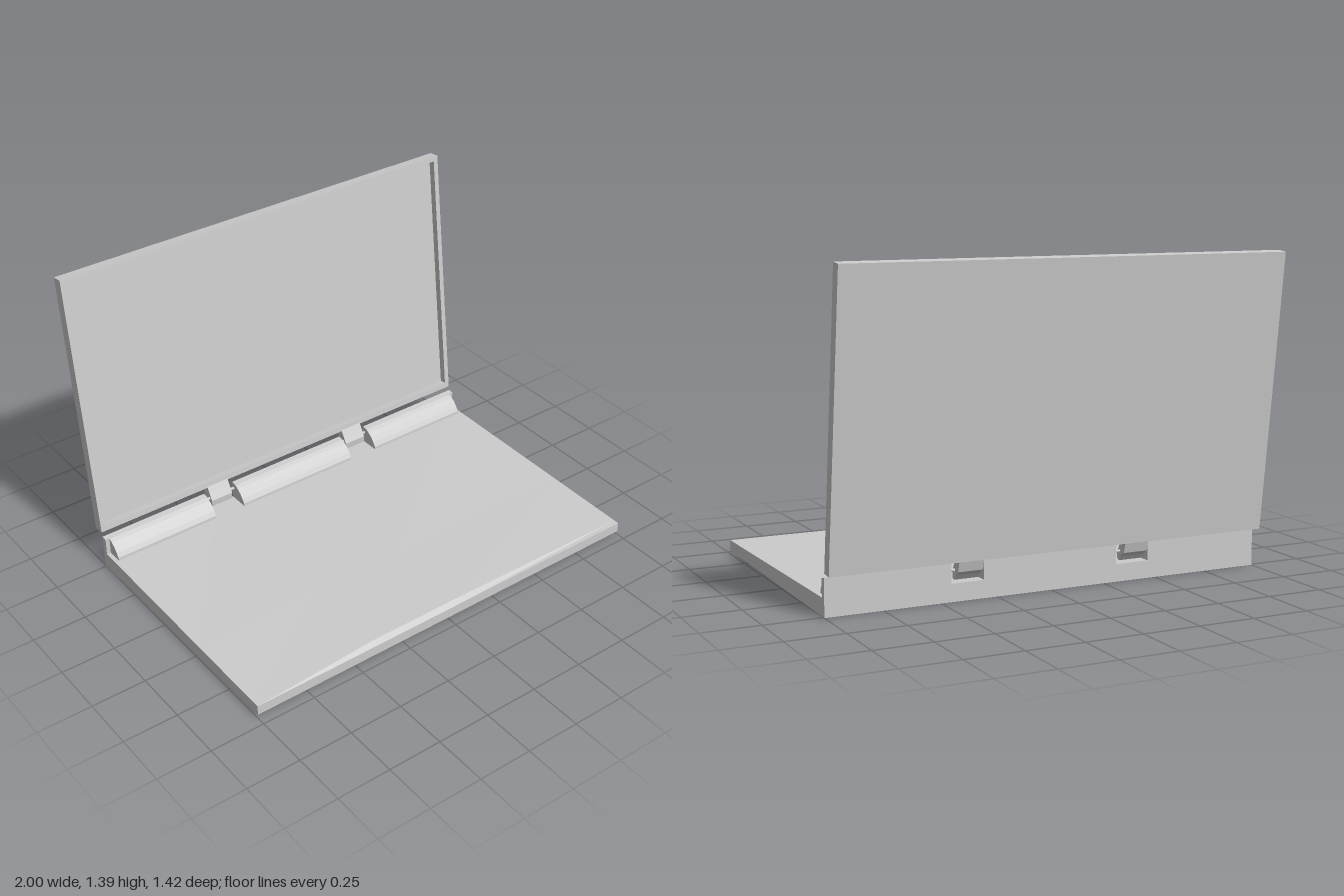
import * as THREE from 'three';

const material = new THREE.MeshStandardMaterial({ color: 0xcccccc, flatShading: true });

function addMesh(parent, name, geometry) {
  const mesh = new THREE.Mesh(geometry, material);
  mesh.name = name;
  parent.add(mesh);
  return mesh;
}

// Sweep a side profile of [z, y] points from x0 to x1
function sideExtrude(points, x0, x1) {
  const shape = new THREE.Shape(points.map(([z, y]) => new THREE.Vector2(z, y)));
  const geometry = new THREE.ExtrudeGeometry(shape, { depth: x1 - x0, bevelEnabled: false });
  return geometry.rotateY(-Math.PI / 2).translate(x1, 0, 0);
}

// Keyboard slab: tapered underside, top slightly raised away from the side edges
function baseGeometry() {
  const xs = [-1, -0.4, 0.05, 1];
  const zs = [-0.51, 0.28, 0.685, 0.71];
  const geometry = new THREE.BoxGeometry(3, 1, 3, 3, 1, 3);
  const p = geometry.attributes.position;
  for (let i = 0; i < p.count; i++) {
    const ix = Math.round(p.getX(i) + 1.5);
    const iz = Math.round(p.getZ(i) + 1.5);
    const t = (zs[iz] + 0.51) / 1.22;
    const inner = ix > 0 && ix < 3 && iz < 3;
    const top = inner ? 0.077 : 0.077 - 0.013 * t;
    p.setXYZ(i, xs[ix], p.getY(i) > 0 ? top : 0.018 * t, zs[iz]);
  }
  geometry.computeVertexNormals();
  return geometry;
}

export function createModel() {
  const model = new THREE.Group();
  model.name = 'laptop';
  addMesh(model, 'base', baseGeometry());

  // Hinge cover: full-width rear wall with a faceted rounded ridge in front, notched twice
  const wall = [[-0.51, 0.07], [-0.485, 0.07], [-0.485, 0.156], [-0.51, 0.16]];
  const ridge = [[-0.485, 0.07], [-0.413, 0.07], [-0.415, 0.09], [-0.428, 0.11],
    [-0.445, 0.13], [-0.465, 0.145], [-0.485, 0.155]];
  for (const [x0, x1] of [[-1, -0.465], [-0.31, 0.31], [0.455, 1]]) {
    addMesh(model, 'rearWall', sideExtrude(wall, x0, x1));
    addMesh(model, 'hingeCover', sideExtrude(ridge, Math.max(x0, -0.98), Math.min(x1, 0.98)));
  }

  // Hinge knuckles reaching from the notches up to the lid, each on a thin pin
  const knuckle = [[-0.515, 0.185], [-0.553, 0.185], [-0.537, 0.128], [-0.51, 0.108],
    [-0.495, 0.088], [-0.482, 0.093], [-0.48, 0.125], [-0.5, 0.158]];
  for (const x of [-0.387, 0.383]) {
    addMesh(model, 'hingeKnuckle', sideExtrude(knuckle, x - 0.055, x + 0.055));
    const pin = addMesh(model, 'hingePin', new THREE.CylinderGeometry(0.007, 0.007, 0.165, 8));
    pin.rotation.z = Math.PI / 2;
    pin.position.set(x, 0.13, -0.5);
  }

  // Lid: leaning frame around a recessed screen
  const lid = new THREE.Group();
  lid.name = 'lid';
  lid.position.set(0, 0.18, -0.515);
  lid.rotation.x = -0.119;
  model.add(lid);

  const height = 1.222;
  const rect = (path, x, y0, y1) =>
    path.moveTo(-x, y0).lineTo(x, y0).lineTo(x, y1).lineTo(-x, y1).closePath();
  const outline = rect(new THREE.Shape(), 1, 0, height);
  outline.holes.push(rect(new THREE.Path(), 0.977, 0.027, height - 0.023));
  addMesh(lid, 'screenBezel',
    new THREE.ExtrudeGeometry(outline, { depth: 0.032, bevelEnabled: false }).translate(0, 0, -0.032));
  addMesh(lid, 'screenPanel',
    new THREE.BoxGeometry(2, height, 0.018).translate(0, height / 2, -0.041));

  return model;
}
